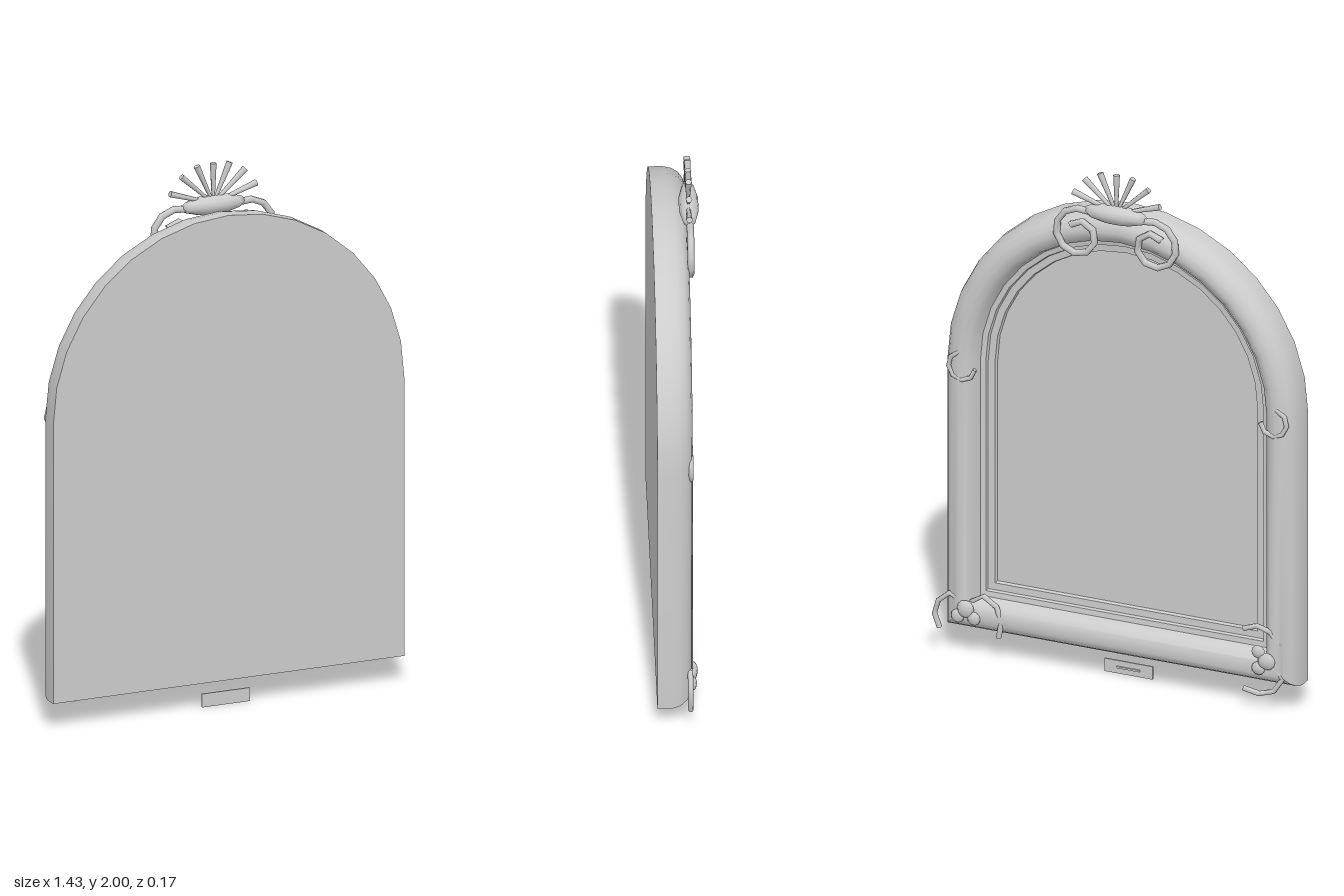
import * as THREE from 'three';
import { toCreasedNormals } from 'three/addons/utils/BufferGeometryUtils.js';

const silver = new THREE.MeshStandardMaterial({ color: 0xcccccc, side: THREE.DoubleSide });
silver.name = 'silver';

const CX = -0.02;        // centre line of the arched frame
const HALF = 0.695, BOTTOM = 0.1, SPRING = 1.145, STEPS = 16;

function add(parent, name, geometry, x = 0, y = 0, z = 0) {
  const mesh = new THREE.Mesh(geometry, silver);
  mesh.name = name;
  mesh.position.set(x, y, z);
  parent.add(mesh);
  return mesh;
}

// Arched outline, inset by d
function outline(d) {
  const w = HALF - d;
  const pts = [new THREE.Vector2(w, BOTTOM + d)];
  for (let i = 0; i <= STEPS; i++) {
    const a = (Math.PI * i) / STEPS;
    pts.push(new THREE.Vector2(w * Math.cos(a), SPRING + w * Math.sin(a)));
  }
  pts.push(new THREE.Vector2(-w, BOTTOM + d));
  return pts;
}

// Moulding swept round the outline: [inset, z]
function mouldingGeometry() {
  const profile = [
    [0, 0.085], [0, 0.035], [0.007, 0.003], [0.022, -0.022], [0.045, -0.038],
    [0.072, -0.044], [0.098, -0.036], [0.118, -0.014], [0.128, 0.02],
    [0.148, 0.024], [0.152, 0.036], [0.178, 0.038], [0.182, 0.052],
  ];
  const rings = profile.map(([d]) => outline(d));
  const n = rings[0].length, pos = [], index = [];
  rings.forEach((ring, j) => ring.forEach((p) => pos.push(p.x, p.y, profile[j][1])));
  for (let j = 0; j < profile.length - 1; j++) {
    for (let i = 0; i < n; i++) {
      const k = (i + 1) % n;
      const a = j * n + i, b = a + n, c = (j + 1) * n + k, d = j * n + k;
      index.push(a, b, c, a, c, d);
    }
  }
  const g = new THREE.BufferGeometry();
  g.setAttribute('position', new THREE.Float32BufferAttribute(pos, 3));
  g.setIndex(index);
  return toCreasedNormals(g, 0.65);
}

// Faceted round bar through a few points in the xy plane
function bar(points, radius) {
  const curve = new THREE.CatmullRomCurve3(points.map(([x, y]) => new THREE.Vector3(x, y, 0)));
  return new THREE.TubeGeometry(curve, points.length - 1, radius, 6);
}

// Spiral points turning clockwise from angle a0 (degrees) while the radius shrinks
function spiral(a0, sweep, r0, r1, count, side) {
  return Array.from({ length: count + 1 }, (_, i) => {
    const t = i / count;
    const a = THREE.MathUtils.degToRad(a0 - sweep * t);
    const r = r0 + (r1 - r0) * t;
    return [side * r * Math.cos(a), r * Math.sin(a)];
  });
}

// Crest: oval boss, fan of flared rays and a pair of scrolls
function createCrest() {
  const crest = new THREE.Group();
  crest.name = 'crest';
  const boss = new THREE.SphereGeometry(1, 10, 6);
  boss.scale(0.132, 0.036, 0.037);
  add(crest, 'crestBoss', boss, 0, 1.845, -0.048);

  for (let i = -3; i <= 3; i++) {
    const a = THREE.MathUtils.degToRad(24 * i);
    const tip = 0.15 + 0.01 * Math.abs(i), start = 0.02;
    const ray = new THREE.CylinderGeometry(0.012, 0.006, tip - start, 6);
    ray.translate(0, (tip + start) / 2, 0);
    add(crest, 'crestRay', ray, 0, 1.85, -0.046).rotation.z = -a;
  }
  for (const s of [-1, 1]) {
    add(crest, 'crestScroll', bar(spiral(115, 430, 0.105, 0.045, 11, s), 0.013),
      s * 0.147, 1.745, -0.05);
  }
  return crest;
}

// Corner ornament: two curved sprigs round a cluster of domes
function createCorner() {
  const corner = new THREE.Group();
  corner.name = 'cornerOrnament';
  const sprigs = [
    [[0.02, 0.05], [0.05, 0.07], [0.1, 0.045], [0.128, -0.01], [0.108, -0.075]],
    [[-0.02, 0.05], [-0.04, 0.08], [-0.1, 0.06], [-0.135, 0.01], [-0.125, -0.075]],
  ];
  for (const pts of sprigs) add(corner, 'cornerSprig', bar(pts, 0.01), 0, 0, 0.012);
  for (const [x, y, r] of [[0, 0.02, 0.034], [0.032, -0.012, 0.026], [-0.032, -0.012, 0.026]]) {
    const dome = new THREE.SphereGeometry(r, 8, 6);
    dome.scale(1, 1, 0.5);
    add(corner, 'cornerDome', dome, x, y, 0);
  }
  return corner;
}

export function createModel() {
  const model = new THREE.Group();
  model.name = 'archedMirror';

  // Frame, glass and backing
  const body = new THREE.Group();
  body.name = 'mirrorBody';
  body.position.x = CX;
  model.add(body);
  add(body, 'frameMoulding', mouldingGeometry());
  add(body, 'backPanel', new THREE.ShapeGeometry(new THREE.Shape(outline(0))), 0, 0, 0.085);
  const glass = new THREE.ShapeGeometry(new THREE.Shape(outline(0.182)));
  glass.rotateY(Math.PI);
  add(body, 'mirrorGlass', glass, 0, 0, 0.052);

  body.add(createCrest());

  // Small scrolls where the arch meets the straight sides
  for (const s of [-1, 1]) {
    add(body, 'sideScroll', bar(spiral(75, 250, 0.056, 0.05, 6, s), 0.009),
      s * 0.612, 1.137, -0.037);
  }

  // Bottom corners, one turned a quarter against the other
  const leftCorner = createCorner();
  leftCorner.position.set(0.595, 0.175, -0.046);
  const rightCorner = createCorner();
  rightCorner.position.set(-0.57, 0.205, -0.046);
  rightCorner.rotation.z = Math.PI / 2;
  body.add(leftCorner, rightCorner);

  // Small loose plate under the frame
  const plate = new THREE.Group();
  plate.name = 'lowerPlate';
  plate.position.set(CX, 0.028, 0.06);
  add(plate, 'plate', new THREE.BoxGeometry(0.19, 0.05, 0.006));
  add(plate, 'plateBar', new THREE.BoxGeometry(0.09, 0.007, 0.006), 0, 0, -0.005);
  model.add(plate);

  return model;
}
